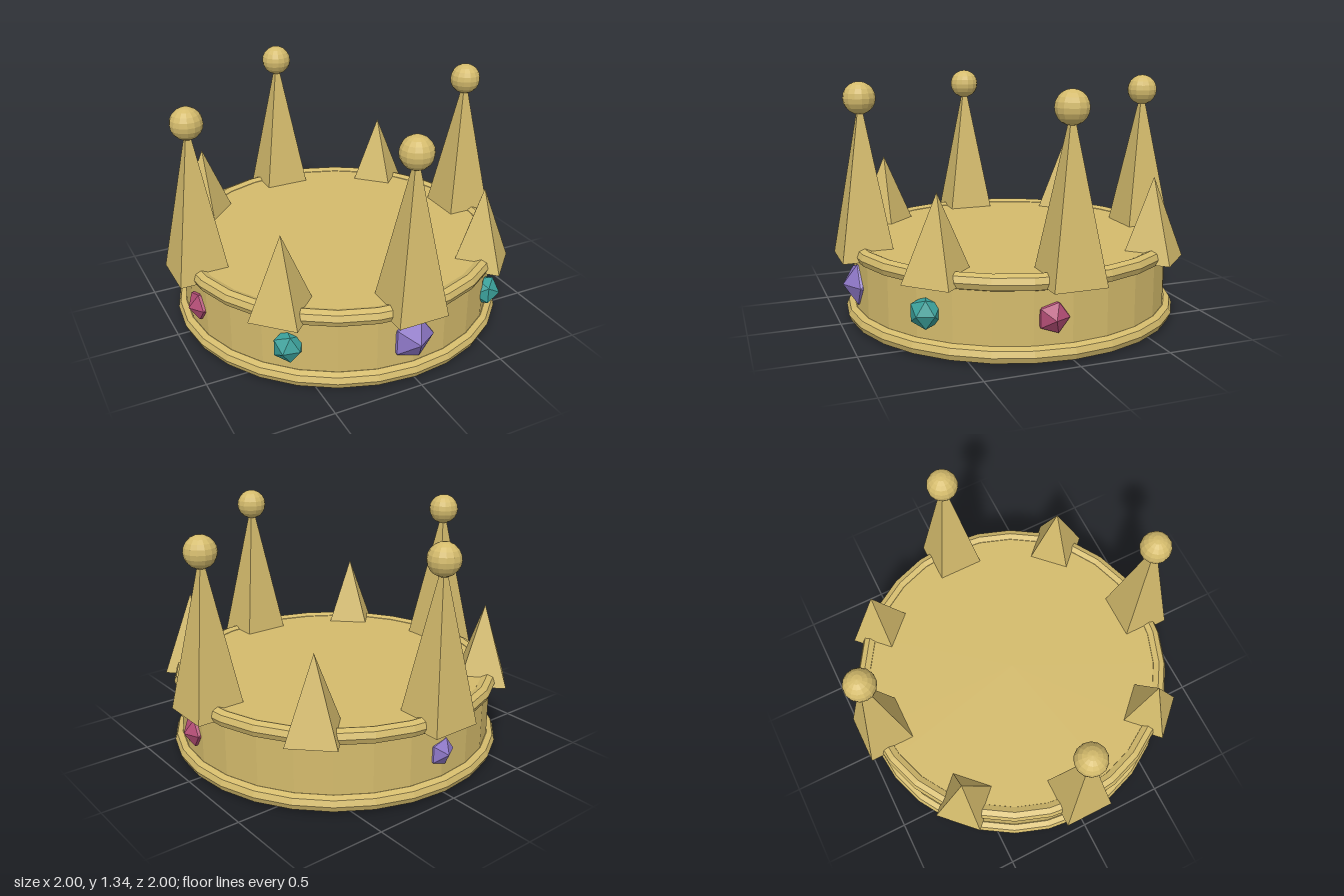
import * as THREE from 'three';

const material = (name, color) => {
  const m = new THREE.MeshStandardMaterial({ color, flatShading: true });
  m.name = name;
  return m;
};

export function createModel() {
  const crown = new THREE.Group();
  crown.name = 'crown';
  const gold = material('gold', 0xd4bb6c);
  const purple = material('purple gem', 0x8f78c8);
  const teal = material('teal gem', 0x3a9f99);
  const red = material('red gem', 0xb34d75);
  const SIDES = 28;

  const add = (name, geometry, mat, x, y, z) => {
    const mesh = new THREE.Mesh(geometry, mat);
    mesh.name = name;
    mesh.position.set(x, y, z);
    crown.add(mesh);
    return mesh;
  };

  // Closed band with a rolled rim at each end
  add('band', new THREE.CylinderGeometry(0.903, 0.903, 0.43, SIDES), gold, 0, 0.225, 0);
  const rim = (name, radius, y) =>
    add(name, new THREE.TorusGeometry(radius, 0.045, 8, SIDES).rotateX(Math.PI / 2), gold, 0, y, 0);
  rim('lowerRim', 0.907, 0.045);
  rim('upperRim', 0.891, 0.411);

  // Four tall spikes tipped with balls, and four short spikes between them
  const tall = new THREE.ConeGeometry(0.143 * Math.SQRT2, 0.885, 4).rotateY(Math.PI / 4);
  const short = new THREE.ConeGeometry(0.19, 0.452, 4);
  const ball = new THREE.SphereGeometry(0.088, 14, 10);
  for (let i = 0; i < 4; i++) {
    const a = (i * Math.PI) / 2;
    const x = Math.sin(a) * 0.855, z = Math.cos(a) * 0.855;
    add('tallSpike', tall, gold, x, 0.383 + 0.4425, z);
    add('spikeBall', ball, gold, x, 1.252, z);
    const b = a + Math.PI / 4;
    add('shortSpike', short, gold, Math.sin(b) * 0.855, 0.383 + 0.226, Math.cos(b) * 0.855);
  }

  // Faceted gems, each with one point facing outward
  const gem = (name, mat, radius, x, z, roll) => {
    const geometry = new THREE.IcosahedronGeometry(radius, 0)
      .rotateX(Math.atan(2 / (1 + Math.sqrt(5))))
      .rotateZ(roll);
    add(name, geometry, mat, x, 0.23, z).lookAt(x * 2, 0.23, z * 2);
  };
  gem('frontGem', purple, 0.135, 0, 0.845, 0.3);
  gem('backGem', purple, 0.088, 0, -0.865, 0.3);
  for (const s of [1, -1]) {
    gem('cornerGem', teal, 0.088, s * 0.605, 0.67, 0.3);
    gem('sideGem', red, 0.092, s * 0.865, 0.1, 0.3);
  }
  return crown;
}
